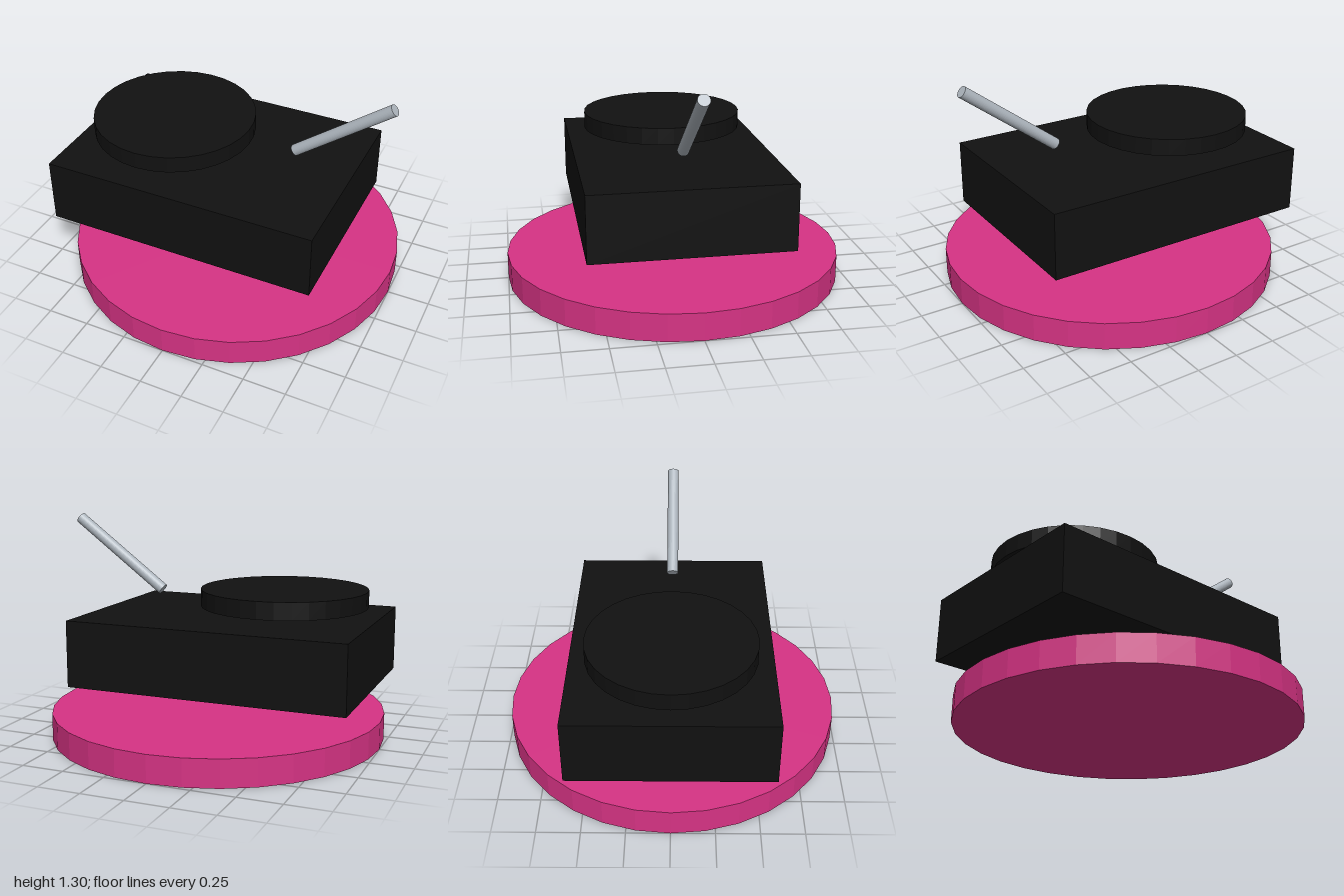
import * as THREE from 'three';

export function createModel() {
  const model = new THREE.Group();
  const material = (name, color) => {
    const m = new THREE.MeshStandardMaterial({ color, flatShading: true });
    m.name = name;
    return m;
  };
  const pink = material('pink', 0xd63384);
  const black = material('black', 0x111111);
  const grey = material('grey', 0xadb5bd);

  const add = (name, geometry, mat, x, y, z = 0) => {
    const mesh = new THREE.Mesh(geometry, mat);
    mesh.name = name;
    mesh.position.set(x, y, z);
    model.add(mesh);
    return mesh;
  };
  const disc = (radius, height) => new THREE.CylinderGeometry(radius, radius, height, 32);

  // Round base on the ground
  add('base', disc(1, 0.16), pink, 0, 0.08);

  // Box body floating above the base
  add('body', new THREE.BoxGeometry(1.65, 0.39, 1.165), black, -0.122, 0.54);

  // Flat platter above one end of the body
  add('platter', disc(0.486, 0.1), black, -0.415, 0.855);

  // Slanted rod rising outwards
  const start = new THREE.Vector3(0.363, 0.853, 0);
  const end = new THREE.Vector3(0.922, 1.271, 0);
  const axis = end.clone().sub(start);
  const mid = start.clone().add(end).multiplyScalar(0.5);
  const rod = add('arm', disc(0.034, axis.length()), grey, mid.x, mid.y);
  rod.quaternion.setFromUnitVectors(new THREE.Vector3(0, 1, 0), axis.normalize());

  return model;
}
